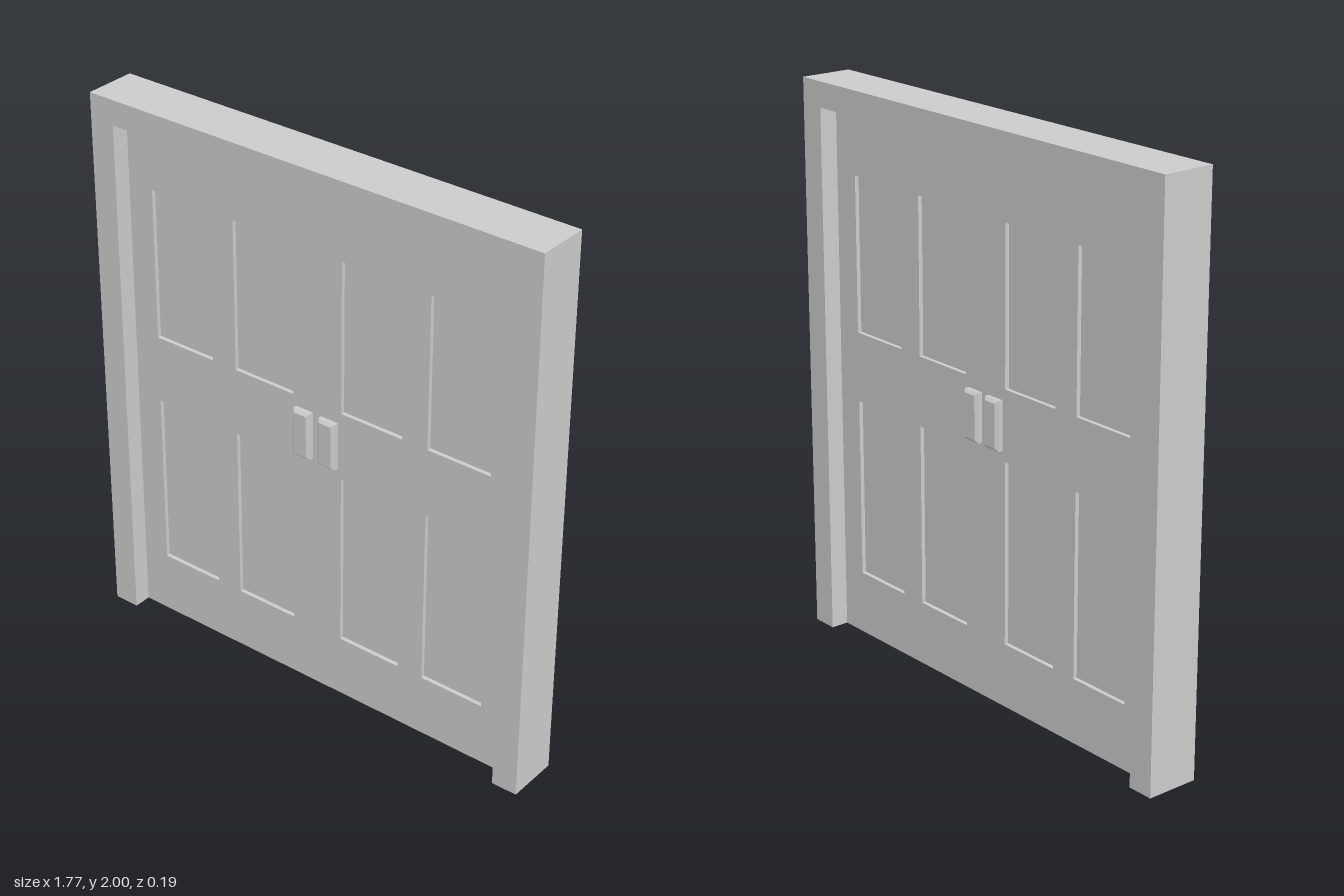
import * as THREE from 'three';

const W = 0.885, H = 2, D = 0.19;        // frame half width, height, depth
const OW = 0.79, OH = 1.91;              // opening half width, height
const CORE = 0.03, SKIN = 0.015;         // door core and raised rail thickness

const material = new THREE.MeshStandardMaterial({ color: 0xcccccc, flatShading: true });
const openMaterial = new THREE.MeshStandardMaterial({
  color: 0xcccccc, flatShading: true, side: THREE.DoubleSide,
});

function polygon(points, Type = THREE.Shape) {
  return new Type(points.map(([x, y]) => new THREE.Vector2(x, y)));
}

function rect(x0, x1, y0, y1, Type) {
  return polygon([[x0, y0], [x1, y0], [x1, y1], [x0, y1]], Type);
}

function addMesh(parent, name, geometry, mat = material) {
  const mesh = new THREE.Mesh(geometry, mat);
  mesh.name = name;
  parent.add(mesh);
  return mesh;
}

// Drops the triangles lying on the floor, leaving the hollow posts open below
function openBottom(geometry) {
  const p = geometry.attributes.position;
  const kept = [];
  for (let i = 0; i < p.count; i += 3) {
    const onFloor = [0, 1, 2].every((k) => Math.abs(p.getY(i + k)) < 1e-6);
    if (onFloor) continue;
    for (let k = 0; k < 3; k++) kept.push(p.getX(i + k), p.getY(i + k), p.getZ(i + k));
  }
  const result = new THREE.BufferGeometry();
  result.setAttribute('position', new THREE.Float32BufferAttribute(kept, 3));
  result.computeVertexNormals();
  return result;
}

function frameGeometry() {
  const shape = polygon([
    [-W, 0], [-OW, 0], [-OW, OH], [OW, OH], [OW, 0], [W, 0], [W, H], [-W, H],
  ]);
  const geometry = new THREE.ExtrudeGeometry(shape, { depth: D, bevelEnabled: false });
  geometry.translate(0, 0, -D / 2);
  return openBottom(geometry);
}

// Rails and stiles with eight panel cut-outs
function railGeometry() {
  const shape = rect(-OW, OW, 0, OH);
  for (const [x0, x1] of [[-0.69, -0.445], [-0.345, -0.1], [0.1, 0.345], [0.445, 0.69]]) {
    for (const [y0, y1] of [[0.23, 0.88], [1.13, 1.685]]) {
      shape.holes.push(rect(x0, x1, y0, y1, THREE.Path));
    }
  }
  return new THREE.ExtrudeGeometry(shape, { depth: SKIN, bevelEnabled: false });
}

// Upright plate with a chamfered face
function handleGeometry() {
  const c = 0.01;
  return new THREE.ExtrudeGeometry(rect(-0.035 + c, 0.035 - c, -0.0875 + c, 0.0875 - c), {
    depth: 0.015, bevelEnabled: true, bevelSize: c, bevelThickness: c, bevelSegments: 1,
  });
}

export function createModel() {
  const model = new THREE.Group();
  model.name = 'doubleDoor';

  addMesh(model, 'frame', frameGeometry(), openMaterial);

  const core = addMesh(model, 'recessedPanels', new THREE.BoxGeometry(OW * 2, OH, CORE));
  core.position.y = OH / 2;

  // Both faces carry the same rails and handles
  const rails = railGeometry();
  const handle = handleGeometry();
  for (const [name, angle] of [['front', 0], ['back', Math.PI]]) {
    const face = new THREE.Group();
    face.name = name + 'Face';
    face.rotation.y = angle;
    addMesh(face, 'rails', rails).position.z = CORE / 2;
    for (const side of [-1, 1]) {
      const mesh = addMesh(face, side > 0 ? 'leftHandle' : 'rightHandle', handle);
      mesh.position.set(side * 0.052, 1.0025, CORE / 2 + SKIN);
    }
    model.add(face);
  }
  return model;
}
